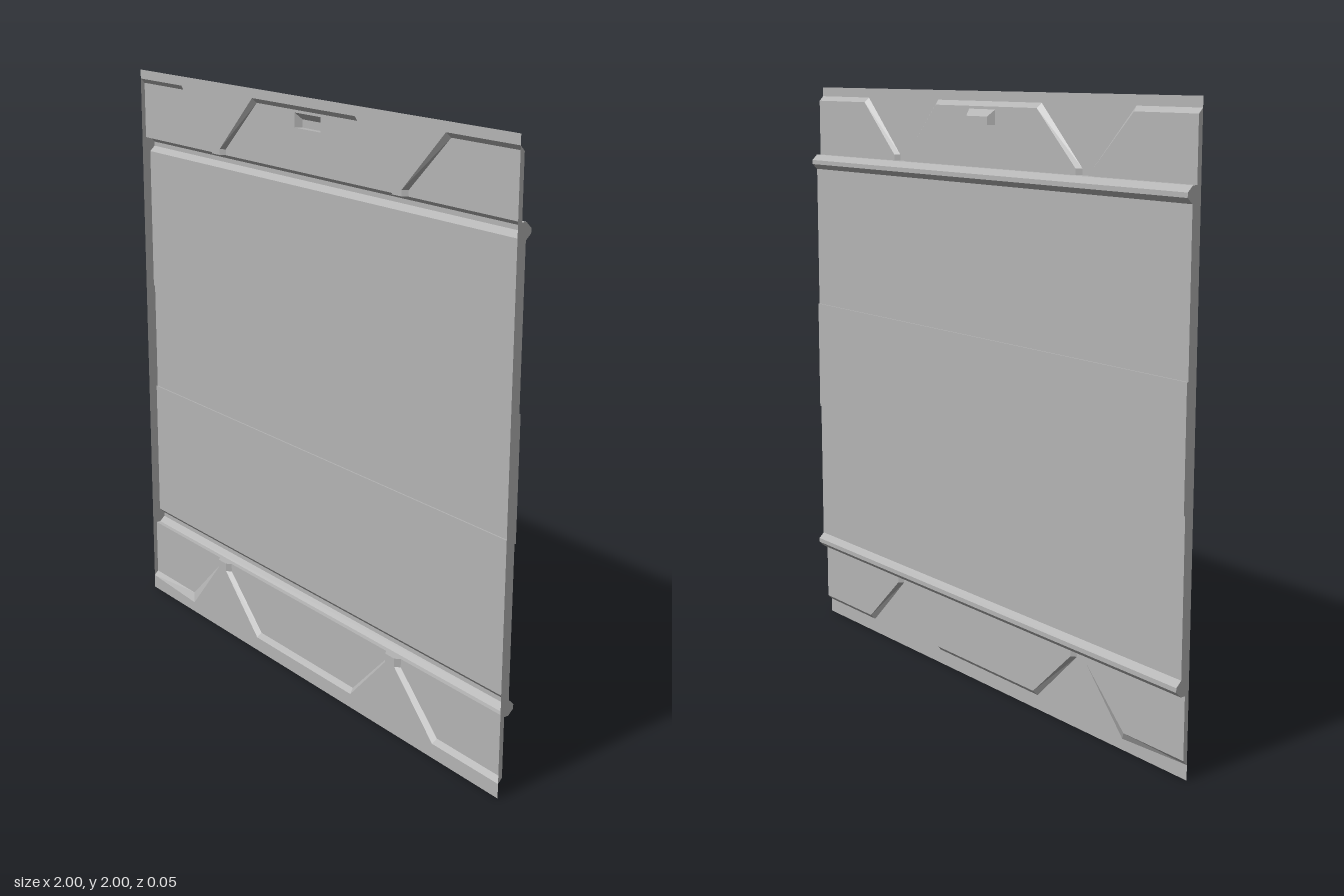
import * as THREE from 'three';

// depth levels of the pressed sheet
const RIM = 0.025, RECESS = 0.01, PANEL = -0.006, RAISED = -0.011, RIB = -0.025;

const metal = new THREE.MeshStandardMaterial({ color: 0xb4b4b4, side: THREE.DoubleSide });
metal.name = 'plain grey';

function add(group, name, geometry) {
  const mesh = new THREE.Mesh(geometry, metal);
  mesh.name = name;
  group.add(mesh);
  return mesh;
}

// flat quads joining two point lists of equal length
function ribbon(a, b) {
  const p = [];
  for (let i = 0; i + 1 < a.length; i++) {
    p.push(...a[i], ...b[i], ...b[i + 1], ...a[i], ...b[i + 1], ...a[i + 1]);
  }
  const g = new THREE.BufferGeometry();
  g.setAttribute('position', new THREE.Float32BufferAttribute(p, 3));
  g.computeVertexNormals();
  return g;
}

const toShape = (pts) => new THREE.Shape(pts.map(([x, y]) => new THREE.Vector2(x, y)));
const atZ = (pts, z) => pts.map(([x, y]) => [x, y, z]);
const flat = (shape, z) => new THREE.ShapeGeometry(shape).translate(0, 0, z);

// half-octagon rib section as [y, z], from top to bottom
const rib = (top) => [[top, PANEL], [top - 0.019, RIB], [top - 0.034, RIB], [top - 0.052, PANEL]];
const TOP_RIB = 1.757, LOW_RIB = 0.319, LOW_EDGE = LOW_RIB - 0.052;

// end band: outer rim, three recessed bays and their sloped walls
function endBand(name, { end, edge, neck, ribY, firstCorner, pocket }) {
  const group = new THREE.Group();
  group.name = name;
  const inward = Math.sign(ribY - end) * 0.016;
  const bays = [
    { rim: [[-1, edge], firstCorner, [-0.535, neck], [-0.535, ribY]],
      floor: [[-1, edge + inward], [-0.732, edge + inward], [-0.55, neck], [-0.55, ribY]] },
    { rim: [[-0.487, ribY], [-0.487, neck], [-0.288, edge], [0.265, edge], [0.449, neck], [0.449, ribY]],
      floor: [[-0.472, ribY], [-0.472, neck], [-0.282, edge + inward], [0.259, edge + inward], [0.434, neck], [0.434, ribY]] },
    { rim: [[0.495, ribY], [0.495, neck], [0.69, edge], [1, edge]],
      floor: [[0.51, ribY], [0.51, neck], [0.696, edge + inward], [1, edge + inward]] },
  ];
  add(group, 'rim', flat(toShape([[-1, end], ...bays.flatMap((b) => b.rim), [1, end]]), RIM));
  bays.forEach(({ rim, floor }, i) => {
    const outline = [...floor];
    if (i === 0) outline.push([-1, ribY]);
    if (i === 2) outline.push([1, ribY]);
    const shape = toShape(outline);
    if (i === 1 && pocket) shape.holes.push(new THREE.Path(pocket.map(([x, y]) => new THREE.Vector2(x, y))));
    add(group, 'bayFloor', flat(shape, RECESS));
    add(group, 'bayWall', ribbon(atZ(rim, RIM), atZ(floor, RECESS)));
  });
  // step from the band to the main panel
  add(group, 'step', ribbon([[-1, ribY, RECESS], [1, ribY, RECESS]], [[-1, ribY, PANEL], [1, ribY, PANEL]]));
  for (const [a, b] of [[-0.55, -0.472], [0.434, 0.51]]) {
    add(group, 'neckStep', ribbon([[a + 0.015, ribY, RIM], [b - 0.015, ribY, RIM]], [[a, ribY, RECESS], [b, ribY, RECESS]]));
  }
  return group;
}

export function createModel() {
  const model = new THREE.Group();
  model.name = 'wallPanel';

  // hand pocket, sloped at the top and sides
  const open = [[-0.07, 1.895], [0.07, 1.895], [0.07, 1.943], [-0.07, 1.943]];
  const base = [[-0.056, 1.895], [0.056, 1.895], [0.056, 1.921], [-0.056, 1.921]];
  const pocket = new THREE.Group();
  pocket.name = 'handPocket';
  add(pocket, 'pocketWalls', ribbon(atZ([...open, open[0]], RECESS), atZ([...base, base[0]], -0.012)));
  add(pocket, 'pocketFloor', flat(toShape(base), -0.012));

  model.add(
    endBand('topBand', { end: 2, edge: 1.968, neck: 1.777, ribY: TOP_RIB, firstCorner: [-0.725, 1.968], pocket: open }),
    endBand('bottomBand', { end: 0, edge: 0.049, neck: 0.238, ribY: LOW_EDGE, firstCorner: [-0.71, 0.036] }),
    pocket,
  );

  // main sheet swept across the width: ribs, panel and raised middle
  const sections = {
    topRib: rib(TOP_RIB),
    panel: [[TOP_RIB - 0.052, PANEL], [1.205, PANEL], [1.205, RAISED], [0.815, RAISED], [0.815, PANEL], [LOW_RIB, PANEL]],
    bottomRib: rib(LOW_RIB),
  };
  for (const [name, section] of Object.entries(sections)) {
    add(model, name, ribbon(section.map(([y, z]) => [1, y, z]), section.map(([y, z]) => [-1, y, z])));
  }

  // closed side edges following the full profile
  const profile = [
    [1.968, RIM], [1.952, RECESS], [TOP_RIB, RECESS],
    ...sections.topRib, ...sections.panel, ...sections.bottomRib,
    [LOW_EDGE, RECESS], [0.065, RECESS], [0.049, RIM],
  ].filter((p, i, all) => i === 0 || p[0] !== all[i - 1][0] || p[1] !== all[i - 1][1]);
  for (const side of [-1, 1]) {
    const cap = new THREE.ShapeGeometry(toShape(profile.map(([y, z]) => [-z, y])));
    cap.rotateY(Math.PI / 2).translate(side, 0, 0);
    add(model, side > 0 ? 'leftEdge' : 'rightEdge', cap);
  }
  return model;
}
